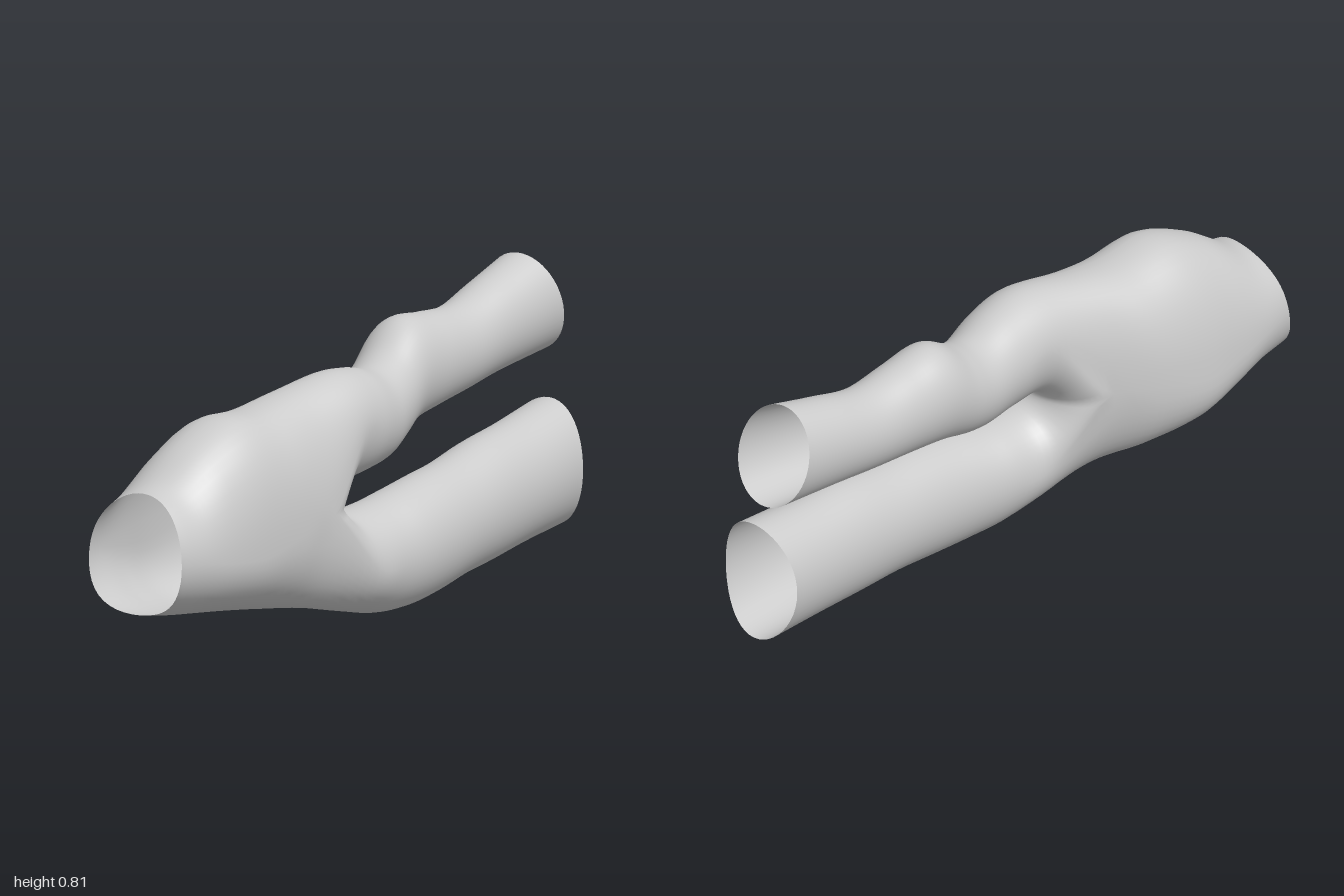
import * as THREE from 'three';
import { mergeGeometries, mergeVertices } from 'three/addons/utils/BufferGeometryUtils.js';

const HALF = 24;          // columns in half a ring
const COLS = HALF * 2;
const STEPS = 6;          // rows between two key rings

// Key rings: [z, top, bottom, xMin, xMax, height of the widest point, lean of the top, squareness]
const TRUNK = [
  [0.97, 0.515, 0.18, -0.18, 0.145, 0.345, 0, 1],
  [0.88, 0.54, 0.165, -0.192, 0.157, 0.33, 0, 1],
  [0.76, 0.615, 0.147, -0.205, 0.172, 0.31, 0.01, 0.93],
  [0.62, 0.664, 0.125, -0.215, 0.18, 0.30, 0.018, 0.87],
  [0.46, 0.656, 0.10, -0.195, 0.182, 0.33, 0.005, 0.87],
  [0.31, 0.672, 0.078, -0.145, 0.18, 0.355, -0.015, 0.87],
];
// Branch rings are plain ovals: [z, top, bottom, xMin, xMax]
const UPPER = [
  [0.13, 0.696, 0.382, -0.108, 0.155],
  [0.00, 0.682, 0.39, -0.112, 0.14],
  [-0.12, 0.655, 0.393, -0.125, 0.11],
  [-0.21, 0.68, 0.412, -0.142, 0.085],
  [-0.33, 0.745, 0.45, -0.165, 0.06],
  [-0.46, 0.735, 0.468, -0.166, 0.05],
  [-0.61, 0.725, 0.483, -0.165, 0.04],
  [-0.77, 0.765, 0.502, -0.172, 0.04],
  [-0.96, 0.806, 0.522, -0.18, 0.05],
];
const LOWER = [
  [0.13, 0.312, 0.035, -0.085, 0.203],
  [0.00, 0.312, 0.006, -0.07, 0.207],
  [-0.12, 0.328, 0, -0.06, 0.213],
  [-0.25, 0.342, 0.008, -0.06, 0.208],
  [-0.40, 0.352, 0.025, -0.068, 0.195],
  [-0.56, 0.374, 0.033, -0.08, 0.182],
  [-0.74, 0.387, 0.046, -0.095, 0.168],
  [-0.92, 0.41, 0.055, -0.11, 0.155],
];

const angle = (k) => (k / COLS) * Math.PI * 2;
const soft = (v, p) => Math.sign(v) * Math.pow(Math.abs(v), p);

// One closed oval ring of points
function ring([z, top, bottom, xMin, xMax, middle = (top + bottom) / 2, lean = 0, power = 1]) {
  return Array.from({ length: COLS }, (_, k) => {
    const c = Math.cos(angle(k)), s = Math.sin(angle(k));
    return new THREE.Vector3(
      (xMin + xMax) / 2 + soft(c, power) * (xMax - xMin) / 2 + lean * s,
      middle + soft(s, power) * (s > 0 ? top - middle : middle - bottom),
      z);
  });
}

// Uneven cut of an open end
function trim(points, rule) {
  points.forEach((p, k) => { p.z = rule(Math.cos(angle(k)), Math.sin(angle(k))); });
}

// Smooth lengthwise line through key points, sampled from segment first to segment last
function track(points, first, last) {
  const curve = new THREE.CatmullRomCurve3(points, false, 'catmullrom', 0.5);
  const count = (last - first) * STEPS;
  return Array.from({ length: count + 1 }, (_, i) =>
    curve.getPoint((first + i / STEPS) / (points.length - 1)));
}

// Skin over the lengthwise lines, closed around
function skin(tracks) {
  const rows = tracks[0].length, positions = [], index = [];
  tracks.forEach((line) => line.forEach((p) => positions.push(p.x, p.y, p.z)));
  for (let k = 0; k < COLS; k++) {
    for (let i = 0; i < rows - 1; i++) {
      const a = k * rows + i, b = ((k + 1) % COLS) * rows + i;
      index.push(a, a + 1, b, b, a + 1, b + 1);
    }
  }
  const geometry = new THREE.BufferGeometry();
  geometry.setAttribute('position', new THREE.Float32BufferAttribute(positions, 3));
  geometry.setIndex(index);
  return geometry;
}

export function createModel() {
  const trunk = TRUNK.map(ring), upper = UPPER.map(ring), lower = LOWER.map(ring);
  trim(trunk[0], (c, s) => 0.96 + 0.018 * c + 0.02 * (c * c - s * s)
    + 0.05 * Math.max(0, -0.57 * c - 0.82 * s) ** 4);
  trim(upper[upper.length - 1], (c, s) => -0.96 - 0.04 * (0.34 * c - 0.94 * s));
  trim(lower[lower.length - 1], (c) => -0.945 + 0.03 * c * c);

  const split = trunk[trunk.length - 1], before = trunk[trunk.length - 2];
  const columns = [...Array(COLS).keys()];

  // Saddle between the two branches, spanning the split ring from side to side
  const saddle = columns.map((k) => {
    const s = Math.abs(Math.sin(angle(k)));
    const p = split[HALF].clone().lerp(split[0], (Math.cos(angle(k)) + 1) / 2);
    return p.setY(p.y - 0.007 * s).setZ(p.z - 0.14 * s);
  });

  // Trunk: ends heading towards whichever branch each column feeds
  const trunkSkin = skin(columns.map((k) => {
    const next = k % HALF === 0
      ? upper[0][k].clone().lerp(lower[0][k], 0.5)
      : (k < HALF ? upper : lower)[0][k];
    return track([...trunk.map((r) => r[k]), next], 0, trunk.length - 1);
  }));

  // Branch: outer half continues the trunk, inner half rises from the saddle,
  // leaving it lengthwise at the sides and turning upright at the middle
  const branchSkin = (own, other, isOuter) => skin(columns.map((k) => {
    const s = Math.abs(Math.sin(angle(k)));
    const ahead = saddle[k].clone().setZ(saddle[k].z + 0.15);
    const start = k % HALF !== 0 && isOuter(k)
      ? [before[k], split[k]]
      : [ahead.lerp(other[0][(COLS - k) % COLS], s), saddle[k]];
    return track([...start, ...own.map((r) => r[k])], 1, own.length + 1);
  }));
  const upperSkin = branchSkin(upper, lower, (k) => k < HALF);
  const lowerSkin = branchSkin(lower, upper, (k) => k > HALF);

  // Weld the three skins into one smooth open shell
  const geometry = mergeVertices(mergeGeometries([trunkSkin, upperSkin, lowerSkin]), 1e-4);
  geometry.computeVertexNormals();
  const shell = new THREE.Mesh(geometry,
    new THREE.MeshStandardMaterial({ color: 0xcccccc, side: THREE.DoubleSide }));
  shell.name = 'forkedTube';

  const group = new THREE.Group();
  group.name = 'branchingVessel';
  group.add(shell);
  return group;
}
